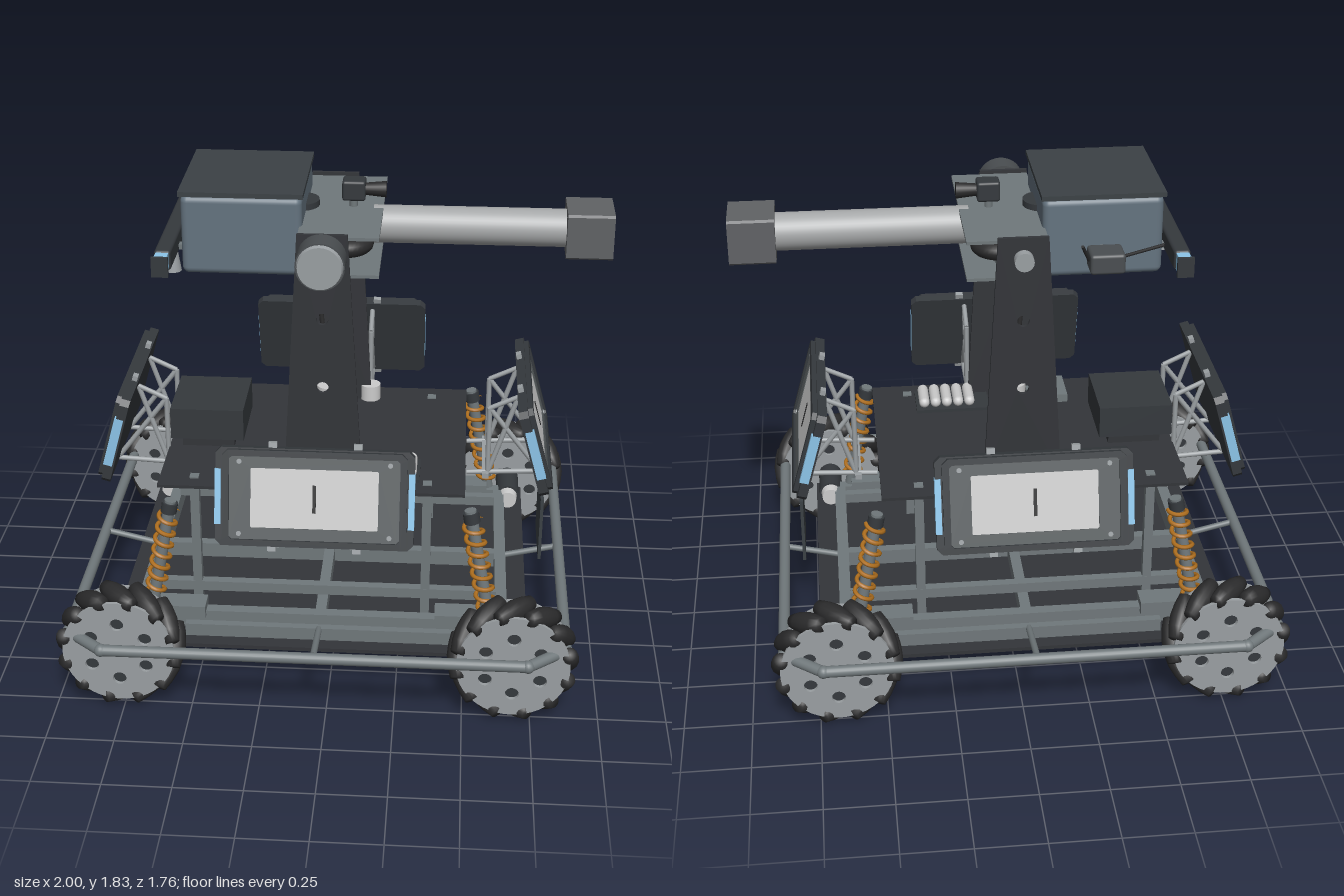
import * as THREE from 'three';
import { RoundedBoxGeometry } from 'three/addons/geometries/RoundedBoxGeometry.js';

const C = { deck: 0x333539, frame: 0x70787b, steel: 0x9a9fa2, rubber: 0x2b2b2c, dark: 0x35393d,
  panel: 0xc8ccca, blue: 0x8cc4e8, coil: 0xb0701f, hopper: 0x64737f, lid: 0x3b4145, barrel: 0xa6a8a9, muzzle: 0x606265, white: 0xd8d8d4 };
const mats = {};
const mat = (c) => mats[c] ??= new THREE.MeshStandardMaterial({ color: c });
const V = (x, y, z) => new THREE.Vector3(x, y, z);

function add(parent, name, geo, color, pos = [0, 0, 0], rot = [0, 0, 0]) {
  const m = new THREE.Mesh(geo, mat(color));
  m.name = name;
  m.position.set(...pos);
  m.rotation.set(...rot);
  parent.add(m);
  return m;
}
const group = (parent, name, pos = [0, 0, 0]) => {
  const g = new THREE.Group();
  g.name = name;
  g.position.set(...pos);
  parent.add(g);
  return g;
};
// Box given by its min and max corners
const box = (p, name, color, a, b) => add(p, name, new THREE.BoxGeometry(b[0] - a[0], b[1] - a[1], b[2] - a[2]),
  color, [0, 1, 2].map((i) => (a[i] + b[i]) / 2));
// Cylinder between two points
function rod(p, name, color, a, b, r, r2 = r, sides = 20) {
  const d = b.clone().sub(a);
  const m = add(p, name, new THREE.CylinderGeometry(r2, r, d.length(), sides), color, a.clone().add(b).multiplyScalar(0.5).toArray());
  m.quaternion.setFromUnitVectors(V(0, 1, 0), d.normalize());
  return m;
}
function rectPath(target, w, h, cut) {
  const x = w / 2, y = h / 2;
  return target.setFromPoints([[x - cut, -y], [x, cut - y], [x, y - cut], [x - cut, y], [cut - x, y], [-x, y - cut],
    [-x, cut - y], [cut - x, -y]].map(([u, v]) => new THREE.Vector2(u, v)));
}
const extrude = (shape, depth) => new THREE.ExtrudeGeometry(shape, { depth, bevelEnabled: false, curveSegments: 24 });
const circle = (target, x, y, r) => target.absarc(x, y, r, 0, Math.PI * 2);

// Wheel with slanted barrel rollers between two drilled discs
function makeWheel(parent, sx, sz) {
  const w = group(parent, 'wheel', [0.72 * sx, 0.243, 0.722 * sz]);
  const disc = circle(new THREE.Shape(), 0, 0, 0.207);
  for (let i = 0; i < 6; i++) {
    const a = Math.PI / 2 + i * Math.PI / 3;
    disc.holes.push(circle(new THREE.Path(), 0.115 * Math.cos(a), 0.115 * Math.sin(a), 0.025));
  }
  const discGeo = extrude(disc, 0.014);
  add(w, 'wheelDisc', discGeo, C.steel, [0, 0, 0.052]);
  add(w, 'wheelDisc', discGeo, C.steel, [0, 0, -0.066]);
  add(w, 'wheelCore', new THREE.CylinderGeometry(0.17, 0.17, 0.09, 32), C.dark, [0, 0, 0], [Math.PI / 2, 0, 0]);
  add(w, 'hub', new THREE.CylinderGeometry(0.03, 0.03, 0.14, 20), C.steel, [0, 0, 0], [Math.PI / 2, 0, 0]);
  const profile = [[0, -0.088], [0.026, -0.085], [0.036, -0.045], [0.041, 0], [0.036, 0.045], [0.026, 0.085], [0, 0.088]]
    .map((p) => new THREE.Vector2(...p));
  const rollerGeo = new THREE.LatheGeometry(profile, 14);
  for (let i = 0; i < 12; i++) {
    const spoke = group(w, 'rollerMount');
    spoke.rotation.z = i * Math.PI / 6;
    add(spoke, 'roller', rollerGeo, C.rubber, [0.2, 0, 0], [sx * sz * Math.PI / 4, 0, 0]);
  }
  // Drive motor on the inner side
  rod(parent, 'motor', C.dark, V(0.72 * sx, 0.243, 0.66 * sz), V(0.72 * sx, 0.243, 0.49 * sz), 0.048);
  rod(parent, 'motorCap', C.white, V(0.72 * sx, 0.243, 0.49 * sz), V(0.72 * sx, 0.243, 0.452 * sz), 0.04, 0.036);
}

// Coil-over shock absorber
class Helix extends THREE.Curve {
  constructor(r, h, turns) { super(); Object.assign(this, { r, h, turns }); }
  getPoint(t, out = V(0, 0, 0)) {
    const a = t * this.turns * Math.PI * 2;
    return out.set(this.r * Math.cos(a), (t - 0.5) * this.h, this.r * Math.sin(a));
  }
}
function makeShock(parent, sx, sz) {
  const a = V(0.635 * sx, 0.27, 0.527 * sz), b = V(0.55 * sx, 0.73, 0.508 * sz);
  const core = rod(parent, 'shockRod', C.frame, a, b, 0.022);
  add(core, 'coilSpring', new THREE.TubeGeometry(new Helix(0.034, 0.38, 8), 160, 0.0085, 6), C.coil);
  add(core, 'springSeat', new THREE.CylinderGeometry(0.03, 0.03, 0.04, 20), C.dark, [0, 0.205, 0]);
  box(parent, 'shockMount', C.frame, [sx * 0.53 - 0.1, 0.25, sz * 0.51 - 0.045], [sx * 0.53 + 0.1, 0.3, sz * 0.51 + 0.045]);
}

// Tilted target panel with side lights and strut brackets, facing local +z
function makeArmor(parent, turn, dist) {
  const side = group(parent, 'armorSide');
  side.rotation.y = turn;
  const a = group(side, 'armorPanel', [0, 0.88, dist]);
  a.rotation.x = -0.27;
  add(a, 'panelBody', extrude(rectPath(new THREE.Shape(), 0.7, 0.355, 0.02), 0.035), C.dark, [0, 0, -0.035]);
  const rim = rectPath(new THREE.Shape(), 0.65, 0.345, 0.02);
  rim.holes.push(rectPath(new THREE.Path(), 0.6, 0.3, 0.01));
  add(a, 'panelRim', extrude(rim, 0.018), C.dark);
  const ring = rectPath(new THREE.Shape(), 0.6, 0.3, 0.01);
  ring.holes.push(rectPath(new THREE.Path(), 0.45, 0.215, 0.004));
  add(a, 'panelFrame', extrude(ring, 0.009), 0x5a5f61);
  box(a, 'panelFace', C.panel, [-0.225, -0.108, -0.005], [0.225, 0.108, 0.006]);
  box(a, 'panelSlot', C.rubber, [-0.006, -0.05, 0], [0.006, 0.05, 0.009]);
  for (const s of [-1, 1]) {
    box(a, 'sideLight', C.blue, [s * 0.341 - 0.011, -0.1, -0.028], [s * 0.341 + 0.011, 0.1, 0.006]);
    for (const t of [-1, 1]) {
      rod(a, 'panelScrew', C.steel, V(s * 0.265, t * 0.13, 0), V(s * 0.265, t * 0.13, 0.013), 0.009, 0.009, 12);
      box(a, 'panelTab', C.steel, [s * 0.15 - 0.015, t * 0.185 - 0.012, -0.03], [s * 0.15 + 0.015, t * 0.185 + 0.012, -0.01]);
    }
    // Triangular strut bracket
    const x = s * 0.13, z = dist - 0.18;
    const top = V(x, 0.96, z), foot = V(x, 0.685, z), tip = V(x, 0.7, dist + 0.02), high = V(x, 1.01, dist - 0.075);
    for (const [p, q] of [[top, foot], [V(x, 0.685, z - 0.08), tip], [top, high], [top, tip], [high, foot]])
      rod(side, 'bracketStrut', C.steel, p, q, 0.01, 0.01, 8);
  }
  box(side, 'bracketCrossbar', C.steel, [-0.16, 0.675, dist - 0.2], [0.16, 0.695, dist - 0.175]);
}

function makeChassis(root) {
  const c = group(root, 'chassis', [-0.04, 0, 0]);
  box(c, 'basePlate', C.deck, [-0.78, 0.185, -0.65], [0.78, 0.2, 0.65]);
  for (const s of [-1, 1]) {
    box(c, 'longBeam', C.frame, [-0.7, 0.2, s * 0.51 - 0.022], [0.7, 0.27, s * 0.51 + 0.022]);
    box(c, 'sideBeam', C.frame, [s * 0.68 - 0.022, 0.2, -0.53], [s * 0.68 + 0.022, 0.27, 0.53]);
    box(c, 'outerRail', C.frame, [-0.5, 0.2, s * 0.58 - 0.015], [0.5, 0.25, s * 0.58 + 0.015]);
    box(c, 'deckBeam', C.frame, [-0.66, 0.27, s * 0.37 - 0.018], [0.66, 0.31, s * 0.37 + 0.018]);
    rod(c, 'bumperStay', C.frame, V(0, 0.295, s * 0.855), V(0, 0.24, s * 0.58), 0.012);
    rod(c, 'bumperStay', C.frame, V(s * 0.91, 0.295, 0), V(s * 0.68, 0.24, 0), 0.012);
    for (const t of [-1, 1]) {
      makeWheel(c, s, t);
      makeShock(c, s, t);
    }
    makeArmor(c, s > 0 ? 0 : Math.PI, 0.735);
    makeArmor(c, s * Math.PI / 2, 0.795);
  }
  box(c, 'crossBeam', C.frame, [-0.68, 0.2, -0.02], [0.68, 0.26, 0.02]);
  box(c, 'crossBeam', C.frame, [-0.02, 0.2, -0.51], [0.02, 0.26, 0.51]);
  box(c, 'endPanel', C.lid, [0.825, 0.31, -0.133], [0.837, 0.575, 0.133]);
  // Tube bumper with cut corners
  const loop = [[-0.77, 0.855], [0.77, 0.855], [0.91, 0.74], [0.91, -0.74], [0.77, -0.855], [-0.77, -0.855], [-0.91, -0.74], [-0.91, 0.74]]
    .map(([x, z]) => V(x, 0.293, z));
  loop.forEach((p, i) => {
    rod(c, 'bumperTube', C.frame, p, loop[(i + 1) % 8], 0.021);
    add(c, 'bumperElbow', new THREE.SphereGeometry(0.024, 16, 12), C.frame, p.toArray());
  });
}

function makeDeck(root) {
  const d = group(root, 'upperDeck');
  box(d, 'deckPlate', C.deck, [-0.65, 0.745, -0.45], [0.49, 0.757, 0.445]);
  for (const x of [-0.52, 0.35]) for (const z of [-0.37, 0.37])
    box(d, 'deckPost', C.frame, [x - 0.017, 0.2, z - 0.017], [x + 0.017, 0.762, z + 0.017]);
  box(d, 'batteryTray', C.dark, [0.03, 0.757, 0.2], [0.32, 0.77, 0.365]);
  for (let i = 0; i < 5; i++)
    add(d, 'batteryCell', new THREE.CapsuleGeometry(0.021, 0.11, 4, 14), C.white, [0.108 + i * 0.045, 0.79, 0.285], [Math.PI / 2, 0, 0]);
  box(d, 'controlBox', C.frame, [-0.29, 0.757, 0.24], [-0.13, 0.79, 0.41]);
  box(d, 'computerBox', C.dark, [-0.64, 0.8, -0.15], [-0.36, 0.925, 0.15]);
  box(d, 'computerFoot', C.deck, [-0.6, 0.757, -0.12], [-0.4, 0.8, 0.12]);
  for (const z of [-0.37, 0.395]) box(d, 'connector', C.steel, [-0.04, 0.757, z - 0.025], [0.04, 0.825, z + 0.025]);
  rod(d, 'yawBase', C.dark, V(-0.04, 0.757, 0), V(-0.04, 0.9, 0), 0.1, 0.07, 32);
  rod(d, 'slipRing', C.white, V(-0.04, 0.9, 0), V(-0.04, 0.98, 0), 0.05, 0.05, 28);
  rod(d, 'cableTube', C.rubber, V(-0.04, 0.97, 0), V(-0.1, 1.55, 0), 0.009);
  rod(d, 'receiver', C.white, V(0.1, 0.757, -0.35), V(0.1, 0.82, -0.35), 0.04, 0.04, 28);
}

function makeTurret(root) {
  const t = group(root, 'turret');
  // Tapered yoke arms
  const arm = new THREE.Shape([[-0.145, 0.757], [0.145, 0.757], [0.09, 1.72], [-0.09, 1.72]].map((p) => new THREE.Vector2(...p)));
  for (const y of [1.13, 1.4]) arm.holes.push(circle(new THREE.Path(), 0, y, 0.022));
  const armGeo = extrude(arm, 0.015);
  for (const z of [-0.35, 0.335]) add(t, 'yokeArm', armGeo, C.deck, [-0.04, 0, z]);
  rod(t, 'pitchMotor', 0x4a4e51, V(-0.04, 1.64, 0.36), V(-0.04, 1.64, 0.455), 0.088, 0.088, 32);
  rod(t, 'pitchMotorCap', C.steel, V(-0.04, 1.64, 0.455), V(-0.04, 1.64, 0.47), 0.083, 0.078, 32);
  rod(t, 'pitchBearing', C.steel, V(-0.04, 1.64, -0.32), V(-0.04, 1.64, -0.385), 0.035);
  // Launcher plates, flywheels and their motors
  for (const y of [1.555, 1.695]) box(t, 'launcherPlate', C.frame, [-0.13, y, -0.335], [0.16, y + 0.012, 0.335]);
  for (const s of [-1, 1]) {
    add(t, 'flywheel', new RoundedBoxGeometry(0.01, 0.01, 0.01, 1, 0.002), C.dark, [0.03, 1.64, s * 0.19]);
    add(t, 'flywheelRim', new THREE.TorusGeometry(0.075, 0.031, 12, 36), C.rubber, [0.03, 1.64, s * 0.2], [Math.PI / 2, 0, 0]);
    rod(t, 'flywheelHub', C.frame, V(0.03, 1.61, s * 0.2), V(0.03, 1.67, s * 0.2), 0.07, 0.07, 28);
    rod(t, 'flywheelMotor', C.frame, V(0, 1.48, s * 0.185), V(0, 1.6, s * 0.185), 0.047);
    rod(t, 'flywheelMotorCap', C.white, V(0, 1.435, s * 0.185), V(0, 1.48, s * 0.185), 0.034, 0.042);
  }
  // Barrel and muzzle block with a square bore
  rod(t, 'barrel', C.barrel, V(0.125, 1.64, 0), V(0.84, 1.64, 0), 0.07, 0.07, 40);
  const block = rectPath(new THREE.Shape(), 0.21, 0.17, 0.008);
  block.holes.push(rectPath(new THREE.Path(), 0.09, 0.06, 0.002));
  add(t, 'muzzleBlock', extrude(block, 0.17), C.muzzle, [0.828, 1.64, 0], [0, Math.PI / 2, 0]);
  box(t, 'muzzleBore', C.dark, [0.9, 1.6, -0.05], [0.985, 1.68, 0.05]);
  // Hopper with lid
  add(t, 'hopper', new RoundedBoxGeometry(0.435, 0.295, 0.485, 4, 0.025), C.hopper, [-0.338, 1.665, 0]);
  box(t, 'hopperLid', C.lid, [-0.562, 1.812, -0.247], [-0.115, 1.83, 0.247]);
  rod(t, 'feedDisc', C.dark, V(-0.15, 1.707, 0), V(-0.15, 1.73, 0), 0.075, 0.075, 32);
  // Sight camera
  add(t, 'cameraBody', new RoundedBoxGeometry(0.085, 0.075, 0.075, 3, 0.01), C.dark, [0.052, 1.773, 0]);
  rod(t, 'cameraFoot', C.frame, V(0.05, 1.7, 0), V(0.05, 1.75, 0), 0.015);
  rod(t, 'cameraLens', C.rubber, V(0.09, 1.773, 0), V(0.17, 1.773, 0), 0.022, 0.03);
  // Rear light bar
  add(t, 'lightBar', new RoundedBoxGeometry(0.06, 0.075, 0.65, 3, 0.012), C.dark, [-0.612, 1.598, 0]);
  for (const s of [-1, 1]) {
    box(t, 'barLight', C.blue, [-0.635, 1.567, s * 0.35 - 0.028], [-0.589, 1.629, s * 0.35 + 0.028]);
    box(t, 'barEnd', C.dark, [-0.642, 1.561, s * 0.384 - 0.007], [-0.582, 1.635, s * 0.384 + 0.007]);
    box(t, 'barArm', C.frame, [-0.6, 1.57, s * 0.12 - 0.015], [-0.5, 1.59, s * 0.12 + 0.015]);
  }
  rod(t, 'barSensor', C.steel, V(-0.612, 1.475, 0.1), V(-0.612, 1.565, 0.1), 0.032, 0.018);
  // Side transmitter with whips
  add(t, 'transmitter', new RoundedBoxGeometry(0.125, 0.075, 0.11, 3, 0.012), 0x4a4e51, [-0.335, 1.62, -0.335]);
  rod(t, 'transmitterMount', C.frame, V(-0.335, 1.62, -0.29), V(-0.335, 1.62, -0.23), 0.02);
  rod(t, 'whip', C.rubber, V(-0.39, 1.63, -0.34), V(-0.53, 1.69, -0.39), 0.006, 0.006, 8);
  rod(t, 'whip', C.rubber, V(-0.27, 1.63, -0.36), V(-0.24, 1.7, -0.4), 0.006, 0.006, 8);
}

export function createModel() {
  const root = new THREE.Group();
  root.name = 'wheeledTurretRobot';
  makeChassis(root);
  makeDeck(root);
  makeTurret(root);
  return root;
}
